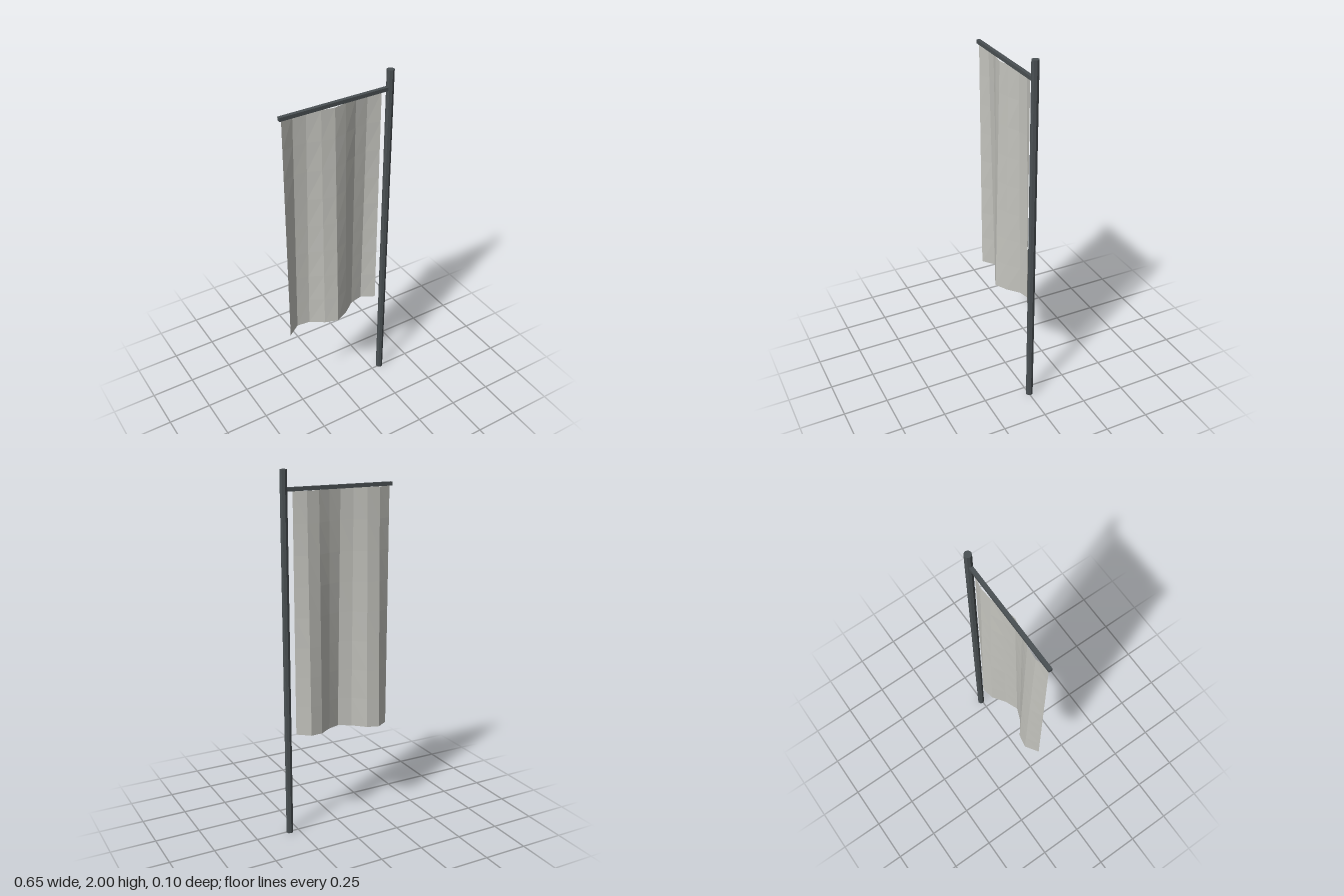
import * as THREE from 'three';

export function createModel() {
  const group = new THREE.Group();
  const metal = new THREE.MeshStandardMaterial({ name: 'dark metal', color: 0x4a5053, flatShading: true });
  const fabric = new THREE.MeshStandardMaterial({
    name: 'pale grey fabric', color: 0xc4c4be, flatShading: true, side: THREE.DoubleSide,
  });
  const midZ = -0.004;

  const add = (name, geometry, material, x, y, z) => {
    const mesh = new THREE.Mesh(geometry, material);
    mesh.name = name;
    mesh.position.set(x, y, z);
    group.add(mesh);
  };

  // Octagonal upright and the square arm that carries the cloth
  add('pole', new THREE.CylinderGeometry(0.02, 0.02, 2, 8), metal, 0.304, 1, midZ);
  add('crossbar', new THREE.BoxGeometry(0.629, 0.02, 0.02), metal, -0.0105, 1.9, midZ);

  // Hanging cloth: folds deepen toward a slightly slanted lower hem
  const folds = [0.002, -0.046, -0.033, 0.021, 0.05, 0.019, -0.033, -0.046, -0.001];
  const rows = 8;
  const cloth = new THREE.PlaneGeometry(1, 1, folds.length - 1, rows);
  const pos = cloth.attributes.position;
  for (let i = 0; i < pos.count; i++) {
    const u = pos.getX(i) + 0.5;
    const drop = 0.5 - pos.getY(i);
    const hem = 0.545 + 0.035 * u;
    const fold = folds[Math.round(u * (folds.length - 1))];
    pos.setXYZ(i, -0.312 + 0.567 * u, 1.89 + (hem - 1.89) * drop, fold * (0.42 + 0.58 * drop));
  }
  cloth.computeVertexNormals();
  add('bannerCloth', cloth, fabric, 0, 0, midZ);

  return group;
}
